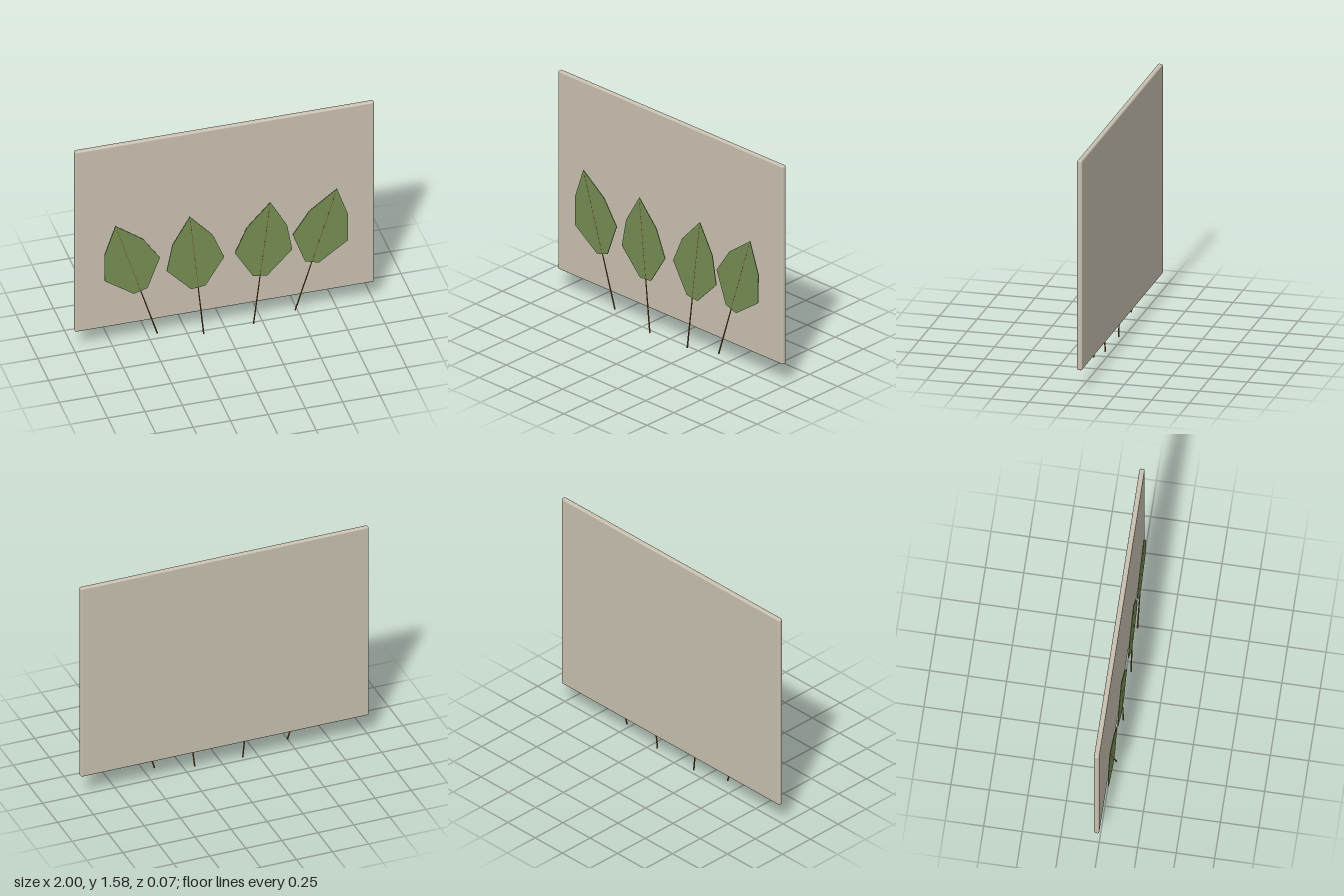
import * as THREE from 'three';
import { RoundedBoxGeometry } from 'three/addons/geometries/RoundedBoxGeometry.js';

export function createModel() {
  const model = new THREE.Group();
  const material = (name, color) => {
    const m = new THREE.MeshStandardMaterial({ color });
    m.name = name;
    return m;
  };
  const panelBeige = material('panelBeige', 0xc8c0b0);
  const leafGreen = material('leafGreen', 0x748c52);
  const stemBrown = material('stemBrown', 0x7a5226);

  const add = (parent, name, geometry, mat) => {
    const mesh = new THREE.Mesh(geometry, mat);
    mesh.name = name;
    parent.add(mesh);
    return mesh;
  };

  // Backing panel with softened edges
  add(model, 'backPanel', new RoundedBoxGeometry(2, 1.425, 0.034, 3, 0.011), panelBeige)
    .position.set(0, 0.8675, -0.018);

  // Leaf outline: right half from tip to foot, then mirrored
  const half = [[0.135, 0.76], [0.193, 0.566], [0.048, 0.376]];
  const outline = [[0, 0.946], ...half, ...half.map(([x, y]) => [-x, y]).reverse()];
  const thickness = 0.005;
  const bladeGeometry = new THREE.ExtrudeGeometry(
    new THREE.Shape(outline.map(([x, y]) => new THREE.Vector2(x, y))),
    { depth: thickness, bevelEnabled: false }
  ).translate(0, 0, -thickness / 2);

  // Stem below the blade, narrowing to a fine midrib that runs to the tip
  const stemGeometry = new THREE.CylinderGeometry(0.0035, 0.005, 0.38, 8).translate(0, 0.19, 0);
  const midribGeometry = new THREE.BoxGeometry(0.003, 0.54, thickness + 0.001).translate(0, 0.645, 0);

  // Four leaves fanned out across the panel: foot x, foot y, lean in degrees
  const leaves = [[-0.46, 0.064, 17.2], [-0.15, 0, 5.6], [0.183, 0.01, -6.8], [0.462, 0.064, -17.2]];
  leaves.forEach(([x, y, lean], i) => {
    const leaf = new THREE.Group();
    leaf.name = `leaf${i + 1}`;
    add(leaf, 'blade', bladeGeometry, leafGreen);
    add(leaf, 'stem', stemGeometry, stemBrown);
    add(leaf, 'midrib', midribGeometry, stemBrown);
    leaf.position.set(x, y, 0.031);
    leaf.rotation.z = THREE.MathUtils.degToRad(lean);
    model.add(leaf);
  });

  return model;
}
